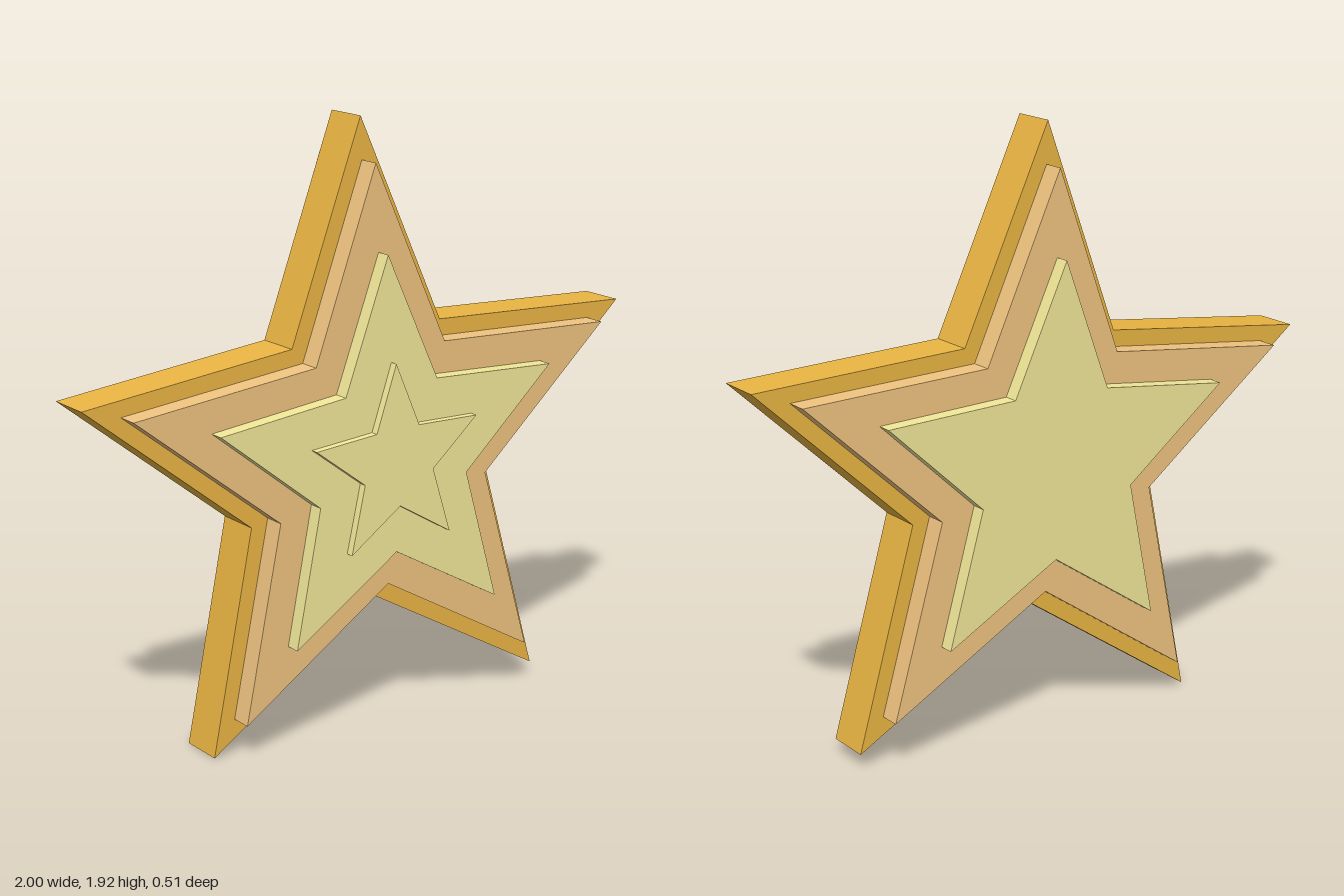
import * as THREE from 'three';

// Five-pointed star plate spanning zBack..zFront
function starPlate(name, radius, inner, zBack, zFront, color) {
  const shape = new THREE.Shape();
  for (let i = 0; i < 10; i++) {
    const r = i % 2 ? inner : radius;
    const a = Math.PI / 2 + (i * Math.PI) / 5;
    const x = r * Math.cos(a), y = r * Math.sin(a);
    if (i === 0) shape.moveTo(x, y);
    else shape.lineTo(x, y);
  }
  shape.closePath();
  const geo = new THREE.ExtrudeGeometry(shape, { depth: zFront - zBack, bevelEnabled: false });
  geo.translate(0, 0, zBack);
  const mesh = new THREE.Mesh(geo, new THREE.MeshStandardMaterial({ color, flatShading: true }));
  mesh.name = name;
  return mesh;
}

export function createModel() {
  const model = new THREE.Group();
  model.name = 'layeredStar';

  // Nested plates: smaller stars are thicker, so they step out front and back
  const star = new THREE.Group();
  star.name = 'starStack';
  star.add(
    starPlate('outerStar', 1.05, 0.47, -0.075, 0.075, 0xeab543),
    starPlate('middleStar', 0.917, 0.408, -0.147, 0.147, 0xf0c480),
    starPlate('innerStar', 0.646, 0.29, -0.197, 0.197, 0xf2e898),
    // The smallest star is raised on the front only
    starPlate('frontStar', 0.315, 0.135, 0, 0.223, 0xf2e898)
  );

  // Slight turn and roll of the whole stack
  star.rotation.set(0, -0.1, THREE.MathUtils.degToRad(2.2));
  star.position.set(0.012, 0.874, 0.001);
  model.add(star);
  return model;
}
